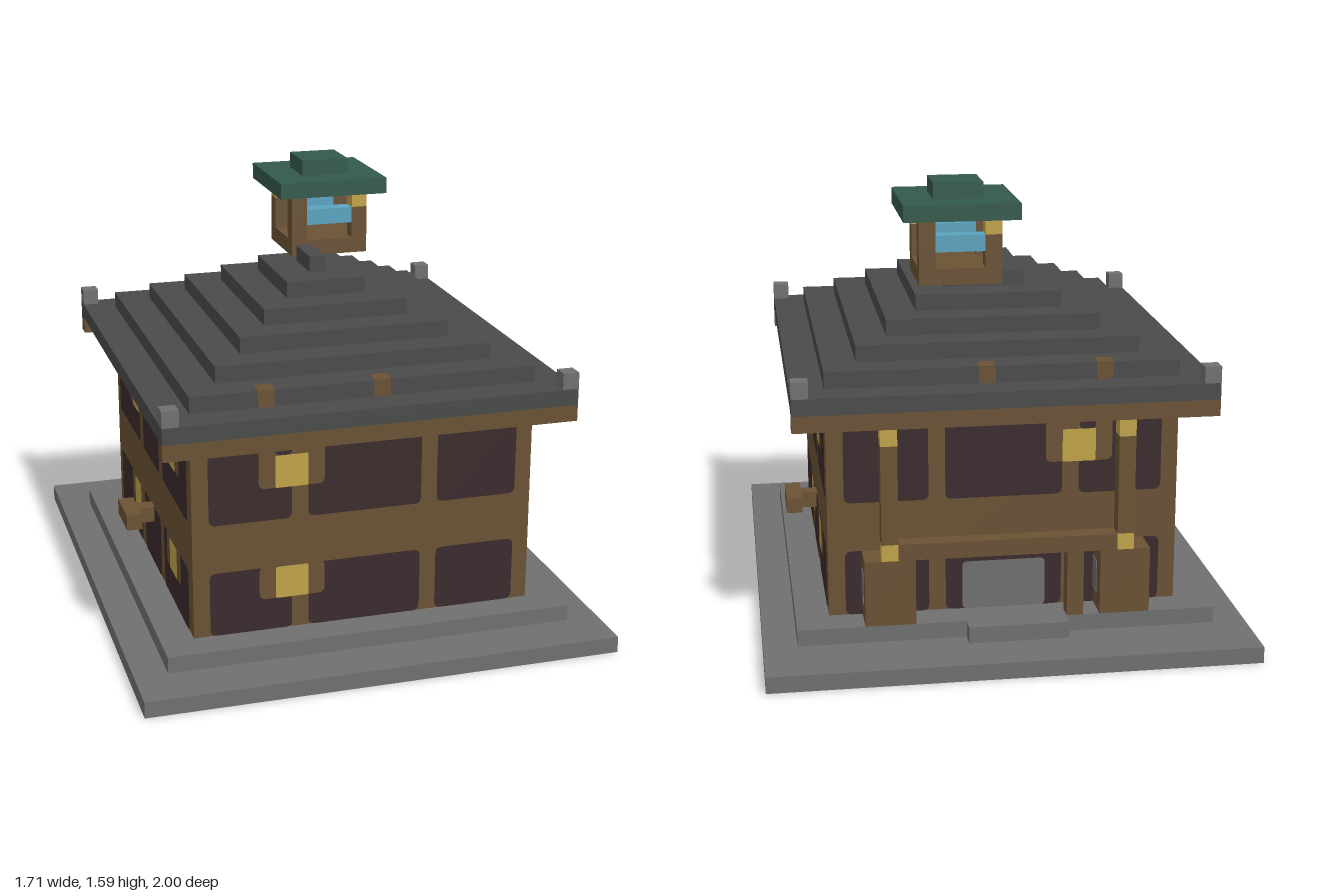
import * as THREE from 'three';

const U = 1 / 17; // edge of one building block

const mat = (name, color) => {
  const m = new THREE.MeshStandardMaterial({ color, flatShading: true });
  m.name = name;
  return m;
};

export function createModel() {
  const stone = mat('stone', 0x707070);
  const slate = mat('slate', 0x4a4a4a);
  const timber = mat('timber', 0x6a5234);
  const panel = mat('darkPanel', 0x3b2b2d);
  const glow = mat('lampYellow', 0xc0a349);
  const green = mat('greenRoof', 0x33594b);
  const blue = mat('blueGlass', 0x5ba3be);

  const model = new THREE.Group();
  model.name = 'house';

  // box from min and max corners, in block units
  const box = (name, m, x0, x1, y0, y1, z0, z1, parent = model) => {
    const geo = new THREE.BoxGeometry((x1 - x0) * U, (y1 - y0) * U, (z1 - z0) * U);
    const mesh = new THREE.Mesh(geo, m);
    mesh.position.set((x0 + x1) / 2 * U, (y0 + y1) / 2 * U, (z0 + z1) / 2 * U);
    mesh.name = name;
    parent.add(mesh);
    return mesh;
  };

  // flat rounded plate on a wall, layered outward
  const plate = (name, m, a0, a1, y0, y1, layer, parent, r = 0.4) => {
    const s = new THREE.Shape();
    s.moveTo(a0 + r, y0);
    s.lineTo(a1 - r, y0).quadraticCurveTo(a1, y0, a1, y0 + r);
    s.lineTo(a1, y1 - r).quadraticCurveTo(a1, y1, a1 - r, y1);
    s.lineTo(a0 + r, y1).quadraticCurveTo(a0, y1, a0, y1 - r);
    s.lineTo(a0, y0 + r).quadraticCurveTo(a0, y0, a0 + r, y0);
    const geo = new THREE.ShapeGeometry(s, 4);
    geo.scale(U, U, U);
    const mesh = new THREE.Mesh(geo, m);
    mesh.position.z = layer * 0.002;
    mesh.name = name;
    parent.add(mesh);
  };

  // stone base, plinth and back step
  box('base', stone, -14.5, 14.5, 0, 1, -17, 17);
  box('plinth', stone, -12.5, 12.5, 1, 2, -13, 14);
  box('backStep', stone, -3.5, 2.5, 1, 2, -14, -13);

  // timber body
  box('walls', timber, -10.5, 10.5, 2, 15, -11, 12);

  // dark panels and lit windows of each wall; h runs to the viewer's right
  const wall = (name, angle, dist, panels, windows) => {
    const g = new THREE.Group();
    g.name = name;
    g.rotation.y = angle;
    const face = new THREE.Group();
    face.position.z = dist * U;
    g.add(face);
    for (const [h0, h1] of panels) {
      plate('upperPanel', panel, h0, h1, 9, 14, 1, face);
      plate('lowerPanel', panel, h0, h1, 2, 6, 1, face);
    }
    for (const { h, y, bit } of windows) {
      const upper = y > 8;
      plate('windowSurround', timber, h - 2, h + 2, y, y + (upper ? 3.1 : 2.1), 2, face);
      plate('window', glow, h - 1, h + 1, y, y + 2, 3, face, 0.12);
      if (upper) plate('panelGap', panel, h + bit[0], h + bit[1], y + 2, y + 3, 3, face, 0.3);
    }
    model.add(g);
    return face;
  };
  const pair = (h, bit) => [{ h, y: 11, bit }, { h, y: 4, bit }];
  const frontPanels = [[-9.5, -4.5], [-3.5, 3.5], [4.5, 9.5]];
  wall('frontWall', 0, 12, frontPanels, pair(-4.5, [-1, 0]));
  wall('leftWall', Math.PI / 2, 10.5, [[-11, -4], [-3, 2], [3, 10]],
    [...pair(-3, [0, 1]), ...pair(5, [-0.5, 0.5])]);
  wall('rightWall', -Math.PI / 2, 10.5, [[-10, -3], [-2, 3], [4, 11]],
    [...pair(-4, [-0.5, 0.5]), ...pair(7, [-0.5, 0.5])]);
  const back = wall('backWall', Math.PI, 11, frontPanels, [{ h: 4.5, y: 11, bit: [0, 1] }]);
  plate('door', stone, -2.5, 2.5, 2, 5, 2, back, 0.3);

  // side shelves
  for (const s of [-1, 1]) {
    const g = new THREE.Group();
    g.name = 'sideShelf';
    box('shelfArm', timber, s * 11 - 0.5, s * 11 + 0.5, 5, 6, 0, 1, g);
    box('shelfBoard', timber, s * 12 - 0.5, s * 12 + 0.5, 5, 6, -1, 2, g);
    model.add(g);
  }

  // eave beams
  box('frontBeam', timber, -12.5, 12.5, 14, 15, 13, 14);
  box('backBeam', timber, -12.5, 12.5, 14, 15, -13, -12);

  // back porch: piers, posts with lamps, rail
  for (const s of [-1, 1]) {
    const c = s * 7;
    box('porchPier', timber, c - 1.5, c + 1.5, 2, 6, -13, -11);
    box('pierStone', stone, c - 1.54, c + 1.54, 3, 5, -12, -11);
    box('lowerLamp', glow, c - 0.5, c + 0.5, 6, 7, -13, -12);
    box('porchPost', timber, c - 0.5, c + 0.5, 7, 13, -13, -12);
    box('upperLamp', glow, c - 0.5, c + 0.5, 13, 14, -13, -12);
  }
  box('porchRail', timber, -6.5, 6.5, 6, 7, -13, -12);
  box('gatePost', timber, -4.5, -3.5, 2, 6, -13, -12);

  // stepped slate roof
  for (let i = 0; i < 7; i++) {
    const w = 12.5 - 2 * i;
    box('roofStep', slate, -w, w, 15 + i, 16 + i, -13 + 2 * i, 14 - 2 * i);
  }

  // corner blocks and timber rafter ends
  for (const x of [-12, 12]) {
    for (const z of [-12.5, 13.5]) {
      box('cornerBlock', stone, x - 0.5, x + 0.5, 16, 17, z - 0.5, z + 0.5);
    }
  }
  for (const x of [-6, 1]) {
    for (const z of [-10.5, 11.5]) {
      box('rafterEnd', timber, x - 0.5, x + 0.5, 16, 17.04, z - 0.54, z + 0.54);
    }
  }

  // open lantern tower
  const tower = new THREE.Group();
  tower.name = 'lanternTower';
  box('towerFloor', timber, -0.5, 4.5, 21.01, 22, -7, -2, tower);
  for (const x of [0, 4]) {
    for (const z of [-6.5, -2.5]) {
      const lit = (x === 4) === (z === -2.5);
      box('towerPost', timber, x - 0.5, x + 0.5, 22, lit ? 24 : 25, z - 0.5, z + 0.5, tower);
      if (lit) box('towerLamp', glow, x - 0.5, x + 0.5, 24, 25, z - 0.5, z + 0.5, tower);
    }
  }
  for (const z of [-6.5, -2.5]) {
    box('glassBar', blue, 0.5, 3.5, 23, 24, z - 0.5, z + 0.5, tower);
  }
  box('towerRoof', green, -1.5, 5.5, 25, 26, -8, -1, tower);
  box('towerCap', green, 0.5, 3.5, 26, 27, -6, -3, tower);
  model.add(tower);

  return model;
}
